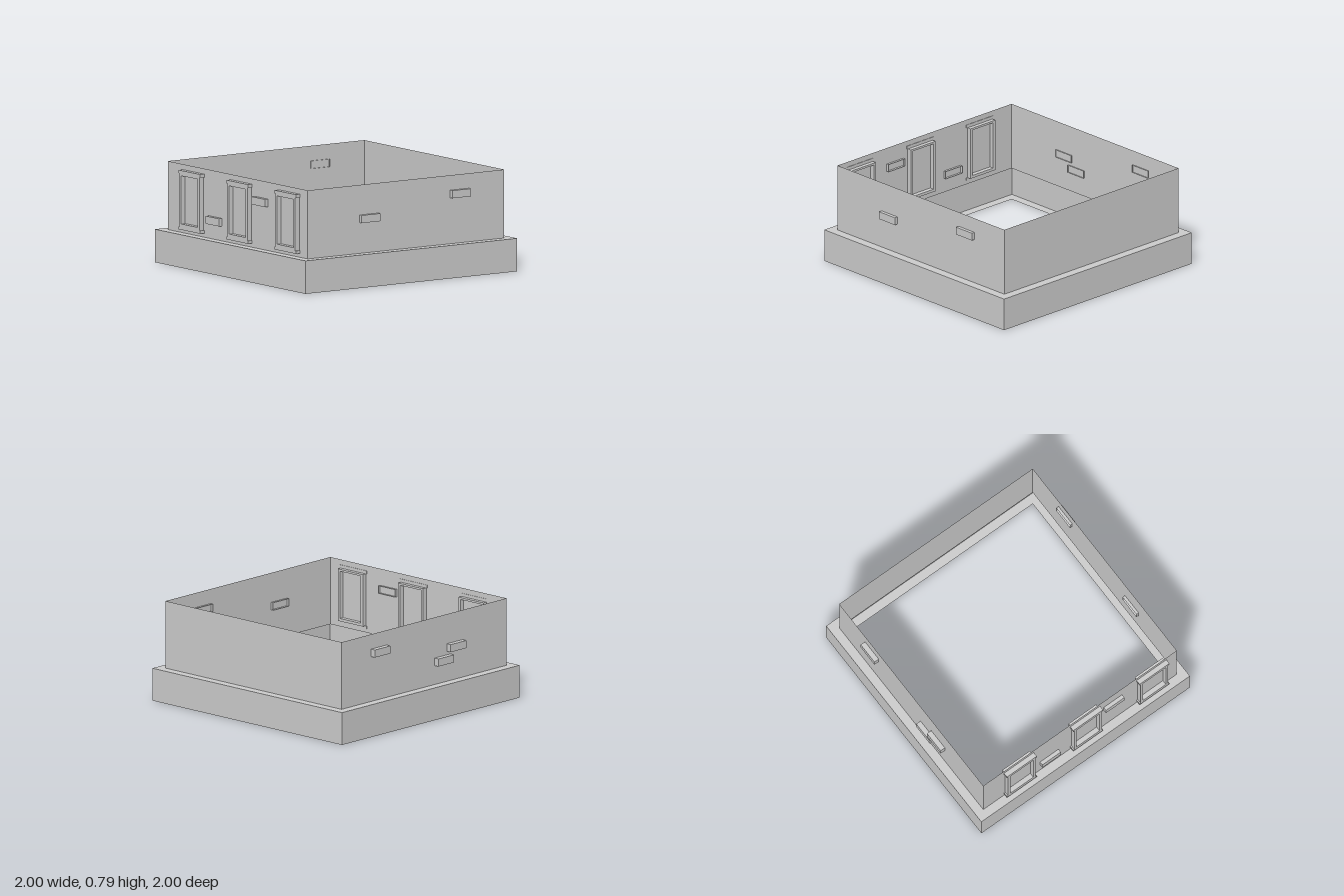
import * as THREE from 'three';

const material = new THREE.MeshStandardMaterial({ color: 0xcccccc, side: THREE.DoubleSide, flatShading: true });

function add(parent, geometry, name) {
  const mesh = new THREE.Mesh(geometry, material);
  mesh.name = name;
  parent.add(mesh);
  return mesh;
}

// Closed outline through the given [x, y] corners
const outline = (pts) => new THREE.Shape(pts.map(([x, y]) => new THREE.Vector2(x, y)));
const rect = (hw, y0, y1) => outline([[-hw, y0], [hw, y0], [hw, y1], [-hw, y1]]);

// Four thin upright sheets around a square
function sheetWalls(half, y0, y1, name) {
  const group = new THREE.Group();
  group.name = name;
  ['front', 'left', 'back', 'right'].forEach((side, i) => {
    const g = new THREE.PlaneGeometry(half * 2, y1 - y0);
    g.translate(0, (y0 + y1) / 2, half);
    g.rotateY((i * Math.PI) / 2);
    add(group, g, side + 'Wall');
  });
  return group;
}

// Flat square ring lying at height y
function flatRing(outer, inner, y) {
  const shape = rect(outer, -outer, outer);
  shape.holes.push(rect(inner, -inner, inner));
  const g = new THREE.ShapeGeometry(shape);
  g.rotateX(-Math.PI / 2);
  g.translate(0, y, 0);
  return g;
}

// Frame with a rectangular opening, from z0 to z1
function frame(shape, z0, z1) {
  shape.holes.push(rect(0.11, 0.332, 0.707));
  const g = new THREE.ExtrudeGeometry(shape, { depth: z1 - z0, bevelEnabled: false });
  g.translate(0, 0, z0);
  return g;
}

export function createModel() {
  const model = new THREE.Group();
  model.name = 'buildingStorey';
  const W = 0.928, BASE = 0.257, TOP = 0.79;

  // Hollow plinth, open towards the inside
  const plinth = sheetWalls(1, 0, BASE, 'plinth');
  add(plinth, flatRing(1, W, BASE), 'plinthLedge');
  add(plinth, flatRing(1, W, 0), 'plinthUnderside');
  model.add(plinth);

  // Upper walls
  model.add(sheetWalls(W, BASE, TOP, 'walls'));

  // Window frames: projecting lintel and sill outside, plain frame inside
  for (const x of [-0.587, 0.049, 0.685]) {
    const win = new THREE.Group();
    win.name = 'window';
    win.position.x = x;
    const c = 0.143, s = 0.132, y0 = 0.287, y1 = 0.31, y2 = 0.723, y3 = 0.748;
    const face = outline([
      [-c, y0], [c, y0], [c, y1], [s, y1], [s, y2], [c, y2],
      [c, y3], [-c, y3], [-c, y2], [-s, y2], [-s, y1], [-c, y1],
    ]);
    add(win, frame(face, 0.924, 0.967), 'outerWindowFrame');
    add(win, frame(rect(s, y1, y2), 0.892, 0.924), 'innerWindowFrame');
    model.add(win);
  }

  // Protruding bricks, open at the back: [side angle, position along wall, y, outer face]
  const L = Math.PI / 2;
  const bricks = [
    [0, -0.295, 0.402, 0.958], [0, 0.315, 0.628, 0.958],
    [L, -0.349, 0.526, 0.956], [L, 0.507, 0.644, 0.956],
    [-L, -0.508, 0.643, 0.969], [-L, 0.207, 0.437, 0.969], [-L, 0.345, 0.525, 0.969],
  ];
  for (const [angle, along, y, face] of bricks) {
    const g = new THREE.BoxGeometry(0.177, 0.06, 0.05);
    g.setIndex(Array.from(g.index.array).slice(0, 30)); // drop the back face
    g.clearGroups();
    g.translate(along, y, face - 0.025);
    g.rotateY(angle);
    add(model, g, 'brick');
  }
  return model;
}
